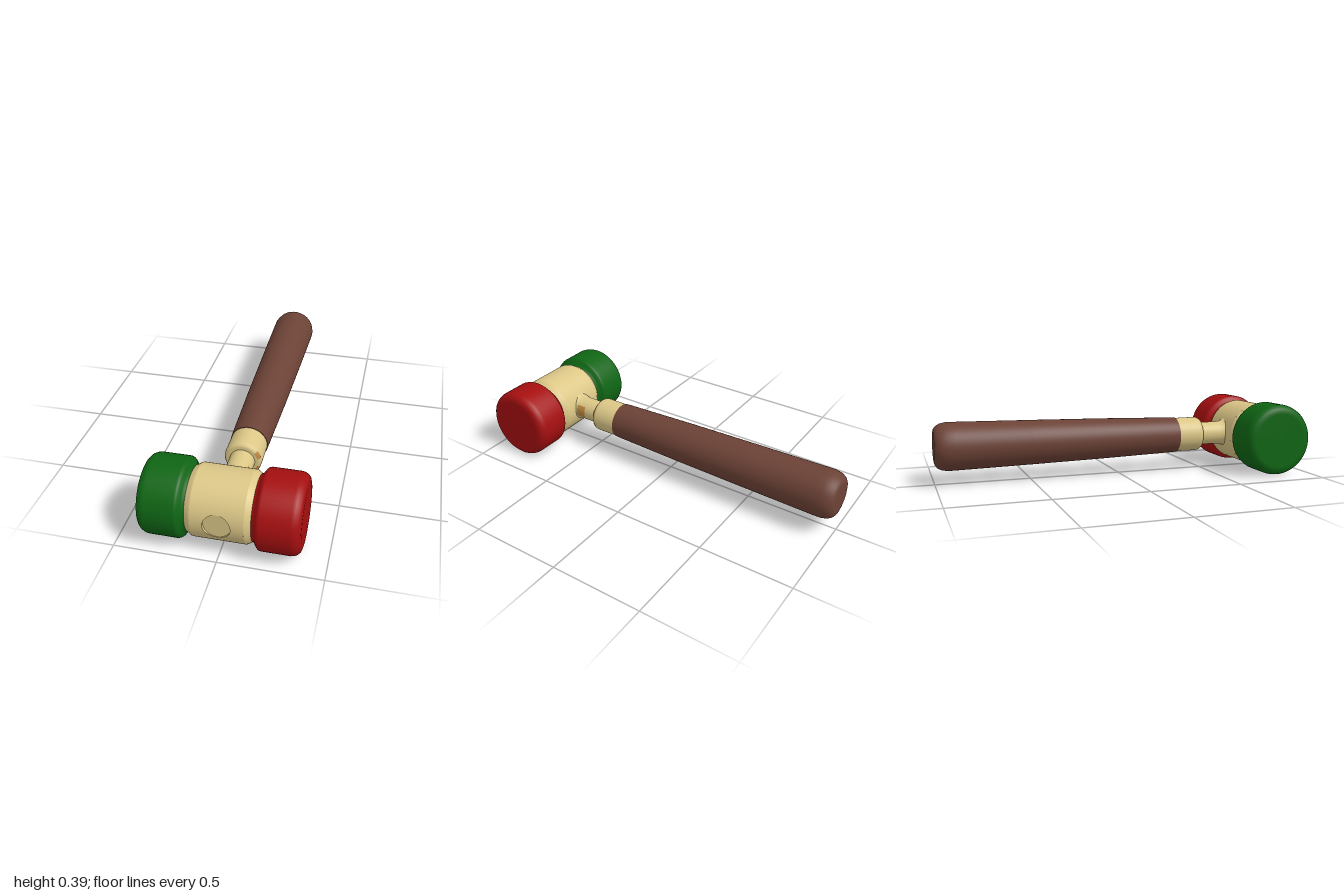
import * as THREE from 'three';
import { ParametricGeometry } from 'three/addons/geometries/ParametricGeometry.js';

const mat = (name, color, side = THREE.FrontSide) => {
  const m = new THREE.MeshStandardMaterial({ color, side });
  m.name = name;
  return m;
};

const BARREL_R = 0.174, BARREL_HALF = 0.125, GAP = 0.5;
const HOLE_R = 0.065, HOLE_FLOOR = 0.159;
const HEAD_Y = 0.194, HEAD_Z = 0.806;

export function createModel() {
  const model = new THREE.Group();
  model.name = 'mallet';
  const cream = mat('cream wood', 0xdcc787);
  const red = mat('red', 0xa50f10);
  const green = mat('green', 0x0f6514);
  const brown = mat('brown wood', 0x6c4236);
  const amber = mat('amber stain', 0xbd8740, THREE.DoubleSide);

  const add = (parent, name, geometry, material) => {
    const mesh = new THREE.Mesh(geometry, material);
    mesh.name = name;
    parent.add(mesh);
    return mesh;
  };
  const lathe = (profile, start = 0, length = Math.PI * 2) =>
    new THREE.LatheGeometry(profile.map(([r, y]) => new THREE.Vector2(r, y)), 64, start, length);

  // Head, lying along x
  const head = new THREE.Group();
  head.name = 'head';
  head.position.set(0, HEAD_Y, HEAD_Z);
  model.add(head);

  const capProfile = [
    [0.158, 0.153], [0.161, 0.163], [0.172, 0.17], [0.185, 0.179], [0.191, 0.186], [0.194, 0.196],
    [0.194, 0.335], [0.191, 0.35], [0.184, 0.364], [0.173, 0.374], [0.158, 0.379], [0.145, 0.38], [0, 0.38],
  ];
  const barrelEnd = [[BARREL_R, BARREL_HALF], [0.172, 0.132], [0.162, 0.147], [0.158, 0.155]];
  for (const [side, label, paint] of [[1, 'left', red], [-1, 'right', green]]) {
    const turn = -side * Math.PI / 2;
    add(head, label + 'Cap', lathe(capProfile).rotateZ(turn), paint);
    add(head, label + 'BarrelEnd', lathe(barrelEnd).rotateZ(turn), cream);
  }

  // Barrel with a window at the front for the handle's end
  add(head, 'barrel', new THREE.CylinderGeometry(BARREL_R, BARREL_R, BARREL_HALF * 2, 64, 1, true,
    GAP, Math.PI * 2 - 2 * GAP).rotateZ(-Math.PI / 2), cream);

  // Curved panel filling that window, from a rectangle in to a round hole
  const panel = (u, v, target) => {
    const a = u * Math.PI * 2, c = Math.cos(a), s = Math.sin(a);
    const k = 1 / Math.max(Math.abs(c), Math.abs(s));
    const x = THREE.MathUtils.lerp(BARREL_HALF * c * k, HOLE_R * c, v);
    const t = THREE.MathUtils.lerp(GAP * s * k, Math.asin(HOLE_R * s / BARREL_R), v);
    target.set(x, BARREL_R * Math.sin(t), BARREL_R * Math.cos(t));
  };
  add(head, 'frontPanel', new ParametricGeometry(panel, 64, 5), cream);

  // Wall of the hole and the flat end of the handle's core inside it
  const wall = (u, v, target) => {
    const a = u * Math.PI * 2, y = HOLE_R * Math.sin(a);
    const surface = Math.sqrt(BARREL_R ** 2 - y * y);
    target.set(HOLE_R * Math.cos(a), y, THREE.MathUtils.lerp(surface, HOLE_FLOOR, v));
  };
  add(head, 'holeWall', new ParametricGeometry(wall, 64, 1), cream);
  add(head, 'coreEnd', new THREE.CircleGeometry(HOLE_R, 64).translate(0, 0, HOLE_FLOOR), cream);

  // Handle assembly, profiles run from back to front along z
  const handle = new THREE.Group();
  handle.name = 'handle';
  handle.position.y = 0.197;
  model.add(handle);
  const alongZ = (profile, ...arc) => lathe(profile, ...arc).rotateX(Math.PI / 2);

  add(handle, 'grip', alongZ([
    [0, -1], [0.08, -1], [0.095, -0.996], [0.109, -0.985], [0.12, -0.965], [0.126, -0.935],
    [0.126, -0.9], [0.119, -0.5], [0.111, -0.1], [0.104, 0.15], [0.099, 0.325], [0.098, 0.34],
  ]), brown);
  add(handle, 'gripFront', new THREE.RingGeometry(0.05, 0.098, 64).translate(0, 0, 0.34), brown);
  add(handle, 'ferrule', alongZ([
    [0.095, 0.335], [0.096, 0.46], [0.094, 0.474], [0.088, 0.484], [0.078, 0.488], [0.06, 0.488],
  ]), cream);
  add(handle, 'neck', alongZ([
    [0.064, 0.485], [0.064, 0.6], [0.066, 0.625], [0.073, 0.645], [0.085, 0.66],
  ]), cream);

  // Small stains on the left side of the neck and ferrule
  add(handle, 'neckStain', alongZ([[0.0655, 0.57], [0.0655, 0.6], [0.068, 0.624]], 1.1, 1.1), amber);
  for (const start of [0.85, 1.8])
    add(handle, 'ferruleStain', alongZ([[0.0962, 0.474], [0.0895, 0.4855], [0.079, 0.4895]], start, 0.45), amber);

  return model;
}
